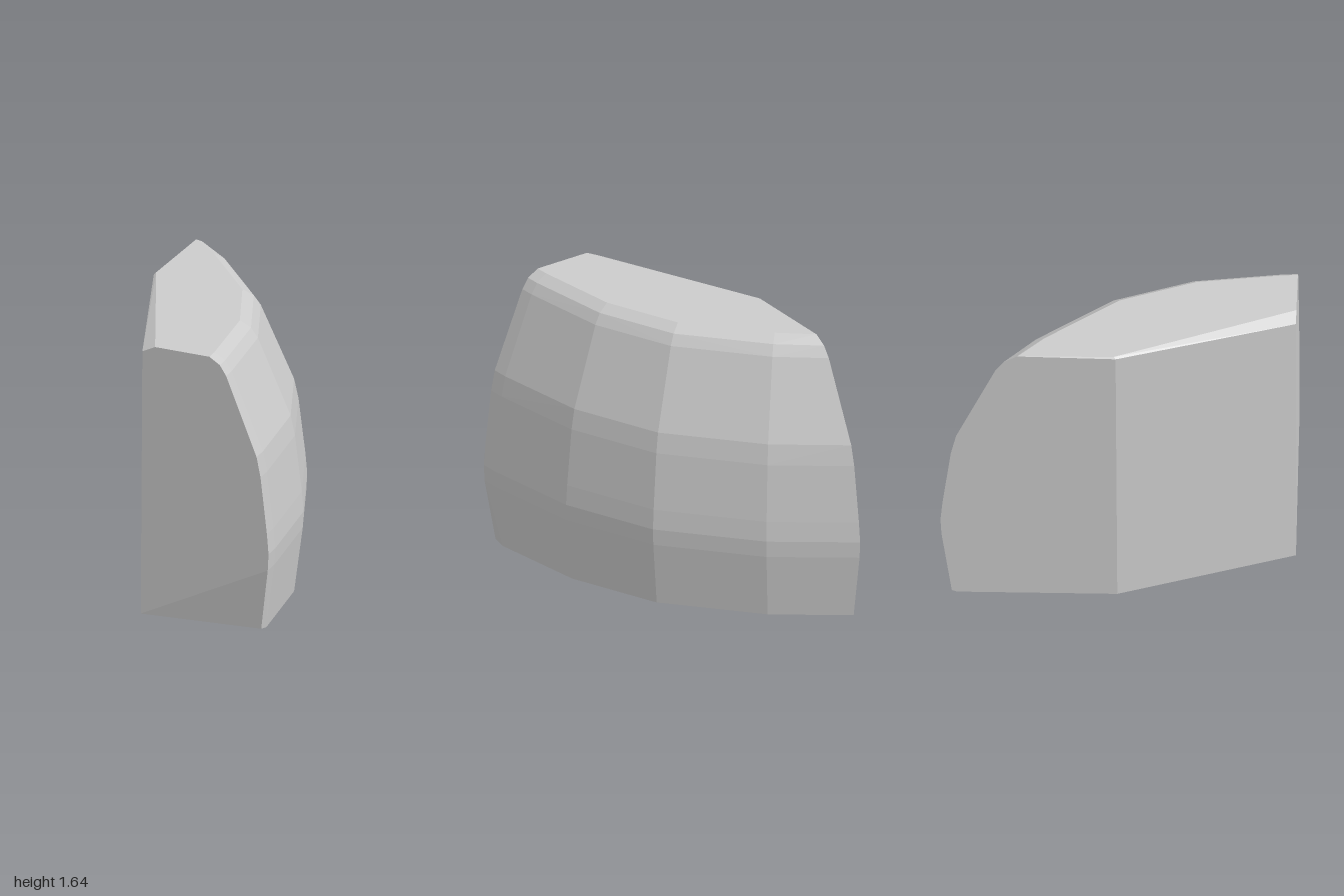
import * as THREE from 'three';
import { ConvexGeometry } from 'three/addons/geometries/ConvexGeometry.js';

// Stations along the curved outer wall: x, z and the outward direction in plan
const STATIONS = [
  { x: -0.6, z: -1, nx: 0, nz: -1.17 },
  { x: -0.17, z: -0.69, nx: 0.67, nz: -0.74 },
  { x: 0.27, z: -0.2, nx: 0.84, nz: -0.54 },
  { x: 0.5, z: 0.33, nx: 0.95, nz: -0.27 },
  { x: 0.595, z: 0.9, nx: 1, nz: -0.06 },
  { x: 0.6, z: 1, nx: 1, nz: 0 },
];

// Wall profile: [height, how far the wall is set in]
const PROFILE = [[0.4, 0.005], [0.5, 0], [0.62, 0.01], [0.96, 0.05], [1.08, 0.075], [1.54, 0.265], [1.6, 0.305], [1.64, 0.37]];

export function createModel() {
  const group = new THREE.Group();
  const points = [];
  const add = (x, y, z) => points.push(new THREE.Vector3(x, y, z));

  // Bulging outer wall
  for (const s of STATIONS) {
    for (const [y, inset] of PROFILE) add(s.x - s.nx * inset, y, s.z - s.nz * inset);
  }
  // Lower rim, slightly chipped at the front corner
  for (const s of STATIONS.slice(0, -1)) {
    add(s.x - s.nx * 0.055, 0.01, s.z - s.nz * 0.055);
    add(s.x - s.nx * 0.08, 0, s.z - s.nz * 0.08);
  }
  add(0.54, 0.025, 0.97);

  // Flat inner wall with a narrow bevel along its top
  add(-0.6, 0, 0);
  add(-0.2, 0, 1);
  add(-0.6, 1.63, -0.01);
  add(-0.19, 1.6, 1);
  add(-0.59, 1.64, -0.02);
  add(-0.11, 1.64, 1);

  const shard = new THREE.Mesh(
    new ConvexGeometry(points),
    new THREE.MeshStandardMaterial({ color: 0xcccccc, flatShading: true })
  );
  shard.name = 'rockShard';
  group.add(shard);
  return group;
}
